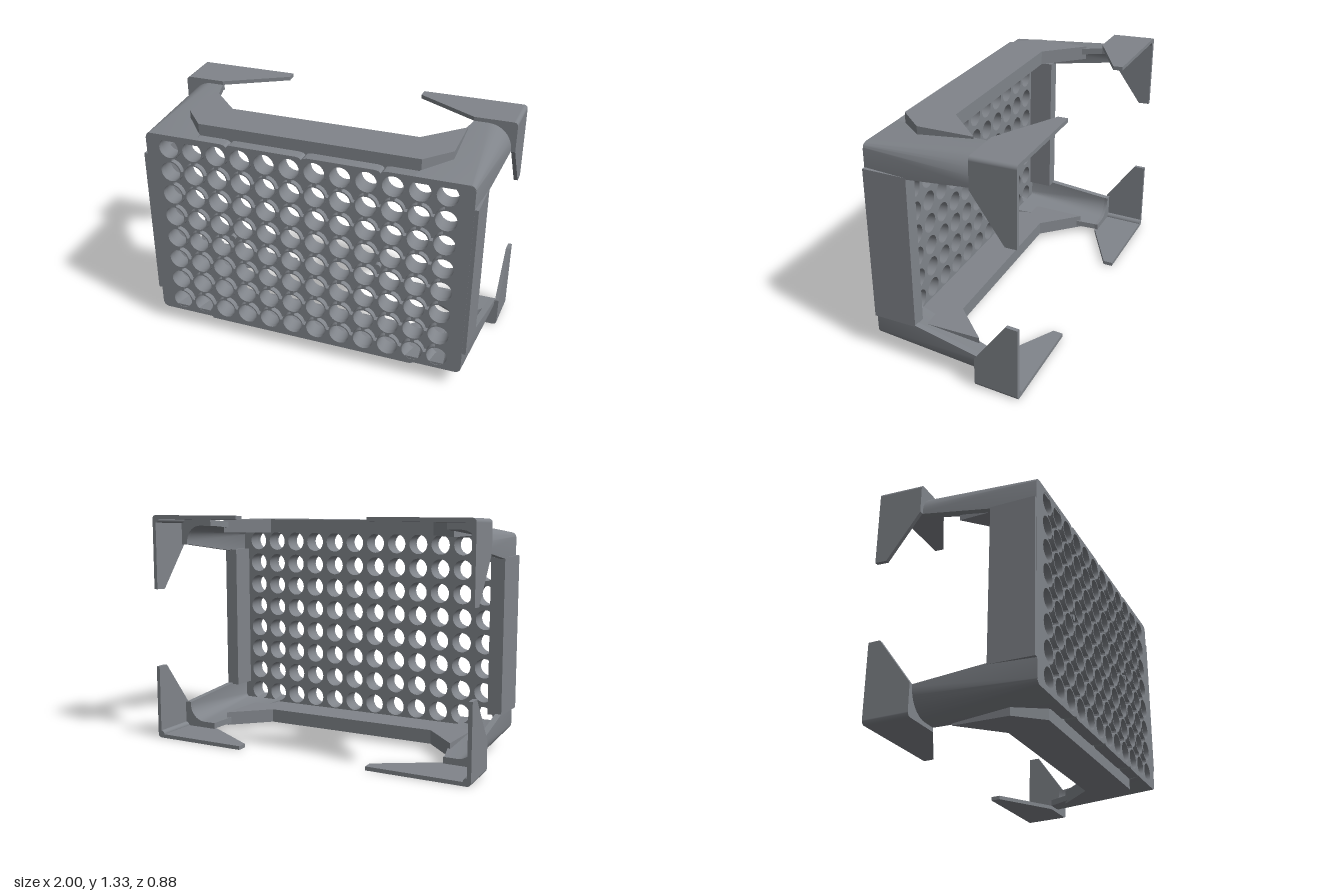
import * as THREE from 'three';
import { toCreasedNormals } from 'three/addons/utils/BufferGeometryUtils.js';

const mat = new THREE.MeshStandardMaterial({ color: 0x80848a });
const PITCH = 0.1415, HOLE = 0.0575, COLS = 12, ROWS = 8;
const W = 0.915, H = 0.572, SHOULDER = -0.19;

const points = (pts) => pts.map(([x, y]) => new THREE.Vector2(x, y));
const poly = (pts) => new THREE.Shape(points(pts));
const extrude = (shape, depth) => toCreasedNormals(
  new THREE.ExtrudeGeometry(shape, { depth, bevelEnabled: false, curveSegments: 12 }), 0.4);
// slab outlined in x,z with its upper face at y = top
const flatSlab = (pts, top, depth) => extrude(poly(pts), depth).rotateX(Math.PI / 2).translate(0, top, 0);
// slab outlined in z,y with its outer face at x = side
const sideSlab = (pts, side, depth) => extrude(poly(pts), depth).rotateY(-Math.PI / 2).translate(side, 0, 0);

function mesh(name, geometry, parent) {
  const m = new THREE.Mesh(geometry, mat);
  m.name = name;
  parent.add(m);
  return m;
}

// plate outline (counterclockwise) with shallow notches in the long edges, pierced by the grid of holes
function piercedPlate() {
  const top = [[W, H - 0.03], [W - 0.009, H - 0.009], [W - 0.03, H]];
  for (const x of [0.43, 0, -0.43])
    top.push([x + 0.035, H], [x + 0.012, H - 0.004], [x, H - 0.014], [x - 0.012, H - 0.004], [x - 0.035, H]);
  top.push([-W + 0.03, H], [-W + 0.009, H - 0.009], [-W, H - 0.03]);
  const plate = poly([...top, ...top.map(([x, y]) => [-x, -y])]);
  for (let i = 0; i < COLS; i++)
    for (let j = 0; j < ROWS; j++) {
      const hole = new THREE.Path();
      hole.absarc((i - (COLS - 1) / 2) * PITCH, (j - (ROWS - 1) / 2) * PITCH, HOLE, 0, Math.PI * 2, true);
      plate.holes.push(hole);
    }
  return plate;
}

// four-pointed pocket between four neighbouring holes
function pocket(cx, cy) {
  const pts = [];
  for (let q = 0; q < 4; q++) {
    const turn = -q * Math.PI / 2;
    const wx = cx + PITCH / Math.SQRT2 * Math.cos(Math.PI / 4 + turn);
    const wy = cy + PITCH / Math.SQRT2 * Math.sin(Math.PI / 4 + turn);
    for (let k = 0; k <= 5; k++) {
      const a = THREE.MathUtils.degToRad(190 + 14 * k) + turn;
      pts.push([wx + 0.065 * Math.cos(a), wy + 0.065 * Math.sin(a)]);
    }
  }
  return new THREE.Path(points(pts));
}

// one side of a leg section: straight, rounded corner, straight
function cornerPath(x0, X, Y, y0, r) {
  const pts = [[x0, Y]];
  for (let i = 0; i <= 10; i++) {
    const a = Math.PI / 2 * (1 - i / 10);
    pts.push([X - r + r * Math.cos(a), Y - r + r * Math.sin(a)]);
  }
  pts.push([X, y0]);
  return pts;
}

const T = 0.035;
const sections = [
  { z: 0.438, x0: 0.6, X: W, Y: H, y0: 0.4, r: 0.03 },
  { z: SHOULDER, x0: 0.755, X: 0.968, Y: 0.637, y0: 0.488, r: 0.135 },
].map((s) => ({
  z: s.z,
  outer: cornerPath(s.x0, s.X, s.Y, s.y0, s.r),
  inner: cornerPath(s.x0, s.X - T, s.Y - T, s.y0, Math.max(s.r - T, 0.004)),
}));

// rounded angle-section leg lofted between its two sections
function legGeometry() {
  const n = sections[0].outer.length, N = 2 * n, pos = [], idx = [];
  for (const s of sections)
    for (const [x, y] of [...s.outer, ...[...s.inner].reverse()]) pos.push(x, y, s.z);
  for (let i = 0; i < N; i++) {
    const j = (i + 1) % N;
    idx.push(i, j, N + i, j, N + j, N + i);
  }
  for (let i = 0; i < n - 1; i++) {
    const a = i, b = N - 1 - i, c = N - 2 - i, d = i + 1;
    idx.push(a, b, c, a, c, d, N + a, N + c, N + b, N + a, N + d, N + c);
  }
  const g = new THREE.BufferGeometry();
  g.setAttribute('position', new THREE.Float32BufferAttribute(pos, 3));
  g.setIndex(idx);
  return toCreasedNormals(g, 0.6);
}

// leg with its shoulder and tapering angle foot, for the +x +y corner
function cornerLeg() {
  const g = new THREE.Group();
  mesh('leg', legGeometry(), g);
  const inner = [...sections[1].inner].reverse();
  mesh('legShoulder', extrude(poly(
    [[0.755, 0.657], [0.97, 0.657], [0.984, 0.651], [0.99, 0.637], [0.99, 0.488], ...inner]), 0.02)
    .translate(0, 0, SHOULDER - 0.02), g);
  // the foot spreads slightly towards the back
  const spread = new THREE.Matrix4().makeTranslation(-0.0132, -0.0132, 0)
    .multiply(new THREE.Matrix4().makeShear(0, 0, 0, 0, -0.03, -0.03));
  mesh('footFlange', flatSlab(
    [[0.978, SHOULDER], [0.762, SHOULDER], [0.407, -0.385], [0.407, -0.44], [0.978, -0.44]], 0.667, 0.022)
    .applyMatrix4(spread), g);
  mesh('footSide', sideSlab(
    [[SHOULDER, 0.645], [SHOULDER, 0.495], [-0.375, 0.232], [-0.44, 0.232], [-0.44, 0.645]], 1, 0.022)
    .applyMatrix4(spread), g);
  mesh('footCorner', new THREE.CylinderGeometry(0.022, 0.022, 0.25, 24).rotateX(Math.PI / 2)
    .translate(0.978, 0.645, -0.315).applyMatrix4(spread), g);
  return g;
}

export function createModel() {
  const root = new THREE.Group();
  const body = new THREE.Group();
  body.name = 'rack';
  body.position.y = 0.667;
  root.add(body);

  // perforated plate, with a front layer that has pockets between the holes
  mesh('perforatedPlate', extrude(piercedPlate(), 0.075).translate(0, 0, 0.335), body);
  const face = piercedPlate();
  for (let i = 1; i < COLS; i++)
    for (let j = 1; j < ROWS; j++)
      face.holes.push(pocket((i - COLS / 2) * PITCH, (j - ROWS / 2) * PITCH));
  mesh('plateFace', extrude(face, 0.03).translate(0, 0, 0.41), body);

  for (const s of [1, -1]) {
    // small pins between the holes
    const pin = mesh('pin', new THREE.CylinderGeometry(0.018, 0.018, 0.03, 16).rotateX(Math.PI / 2), body);
    pin.position.set(s * 3 * PITCH, 0, 0.424);

    // end walls
    const wall = mesh('endWall', new THREE.BoxGeometry(0.08, 0.884, 0.249), body);
    wall.position.set(s * 0.896, 0, 0.3145);

    // long walls with angled ends
    const half = [[0.54, 0.12], [0.745, -0.09], [0.75, 0.225], [0.62, 0.373]];
    const long = flatSlab([...half, ...half.map(([x, z]) => [-x, z]).reverse()], 0.638, 0.08);
    mesh('longWall', s > 0 ? long : long.rotateZ(Math.PI), body);

    // four mirrored corner legs
    for (const t of [1, -1]) {
      const leg = cornerLeg();
      leg.name = (t > 0 ? 'upper' : 'lower') + (s > 0 ? 'Left' : 'Right') + 'Leg';
      leg.scale.set(s, t, 1);
      body.add(leg);
    }
  }
  return root;
}
